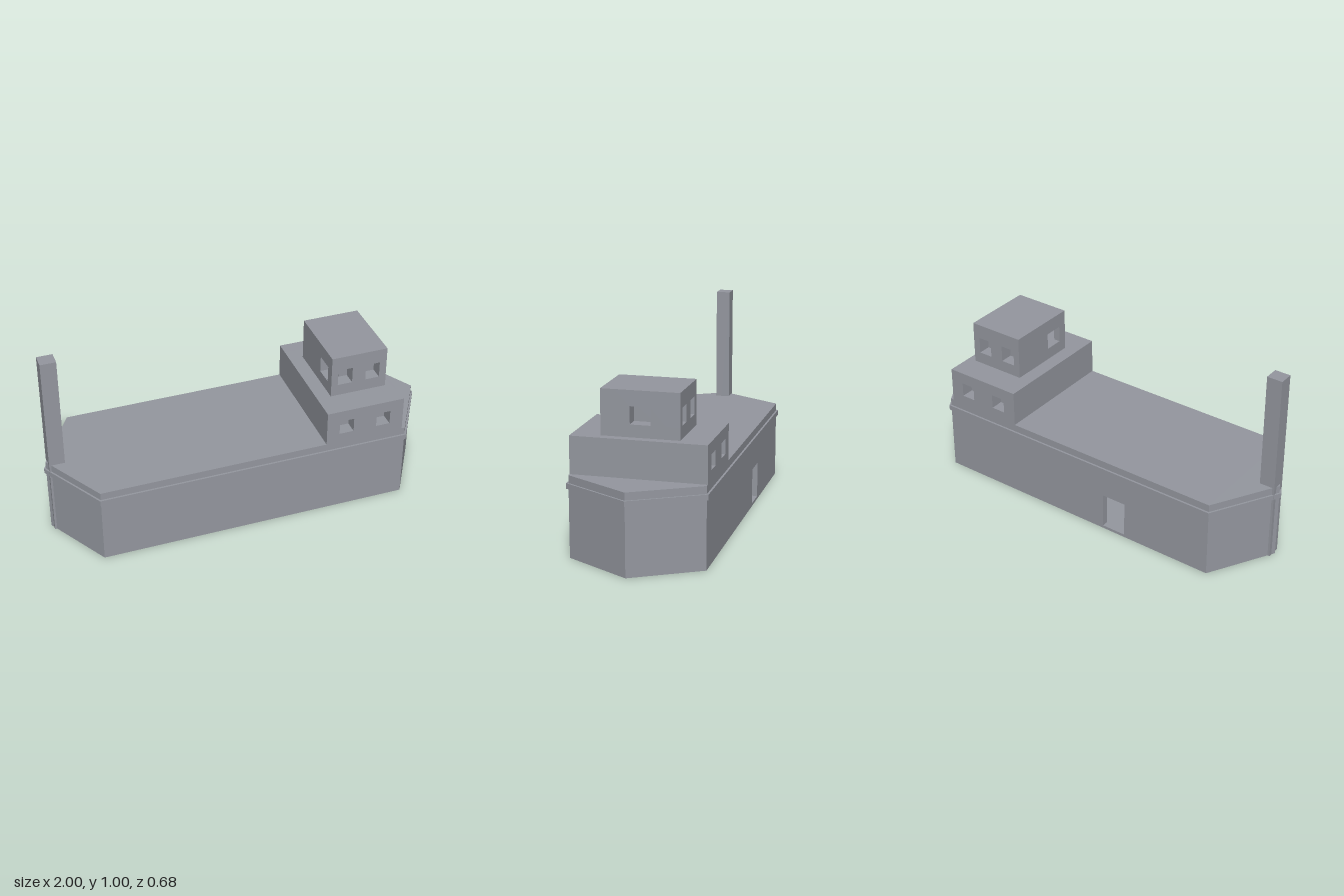
import * as THREE from 'three';

const material = new THREE.MeshStandardMaterial({ color: 0x94979f, flatShading: true });

function add(parent, name, geometry) {
  const mesh = new THREE.Mesh(geometry, material);
  mesh.name = name;
  parent.add(mesh);
  return mesh;
}

// Six-sided plan pointed at both ends, listed from the back right corner round to the back left
const plan = (tip, corner, half) => [
  [-corner, half], [-tip, 0], [-corner, -half], [corner, -half], [tip, 0], [corner, half],
];
const toVectors = (points) => points.map(([x, y]) => new THREE.Vector2(x, y));

// Plan outline extruded upward from y0 to y1
function slab(points, y0, y1, hole) {
  const shape = new THREE.Shape(toVectors(points));
  if (hole) shape.holes.push(new THREE.Path(toVectors(hole)));
  return new THREE.ExtrudeGeometry(shape, { depth: y1 - y0, bevelEnabled: false })
    .rotateX(-Math.PI / 2)
    .translate(0, y0, 0);
}

// Solid box with box-shaped cuts; boxes are [[x0, x1], [y0, y1], [z0, z1]]
function carvedBox(box, cuts) {
  const lines = box.map(([lo, hi], a) => {
    const all = [lo, hi, ...cuts.flatMap((c) => c[a])].filter((v) => v >= lo && v <= hi);
    return [...new Set(all)].sort((p, q) => p - q);
  });
  const solid = (cell) => {
    if (cell.some((i, a) => i < 0 || i >= lines[a].length - 1)) return false;
    const mid = cell.map((i, a) => (lines[a][i] + lines[a][i + 1]) / 2);
    return !cuts.some((c) => mid.every((m, a) => m > c[a][0] && m < c[a][1]));
  };
  const positions = [];
  const addFace = (cell, a, side) => {
    const b = (a + 1) % 3, c = (a + 2) % 3;
    const corner = (u, v) => {
      const p = [];
      p[a] = lines[a][cell[a] + side];
      p[b] = lines[b][cell[b] + u];
      p[c] = lines[c][cell[c] + v];
      return p;
    };
    const q = [corner(0, 0), corner(1, 0), corner(1, 1), corner(0, 1)];
    if (!side) q.reverse();
    for (const i of [0, 1, 2, 0, 2, 3]) positions.push(...q[i]);
  };
  for (let i = 0; i < lines[0].length - 1; i++)
    for (let j = 0; j < lines[1].length - 1; j++)
      for (let k = 0; k < lines[2].length - 1; k++) {
        const cell = [i, j, k];
        if (!solid(cell)) continue;
        for (let a = 0; a < 3; a++)
          for (const side of [0, 1]) {
            const next = [...cell];
            next[a] += side ? 1 : -1;
            if (!solid(next)) addFace(cell, a, side);
          }
      }
  const geometry = new THREE.BufferGeometry();
  geometry.setAttribute('position', new THREE.Float32BufferAttribute(positions, 3));
  geometry.computeVertexNormals();
  return geometry;
}

const WINDOW_DEPTH = 0.067;

// Matching window recesses on the front and back walls
function windowPairs(xRanges, yRange, half) {
  return xRanges.flatMap((x) => [
    [x, yRange, [half - WINDOW_DEPTH, half + 0.1]],
    [x, yRange, [-half - 0.1, WINDOW_DEPTH - half]],
  ]);
}

export function createModel() {
  const model = new THREE.Group();
  model.name = 'ship';

  // Hollow hull with a doorway through the back wall
  const hull = new THREE.Group();
  hull.name = 'hull';
  model.add(hull);
  const outer = plan(0.99, 0.8, 0.33);
  const inner = plan(0.95, 0.78, 0.295);
  const doorway = [
    ...outer, [-0.185, 0.33], [-0.185, 0.295],
    ...[...inner].reverse(), [-0.315, 0.295], [-0.315, 0.33],
  ];
  add(hull, 'hullBottom', slab(outer, 0, 0.015));
  add(hull, 'hullWallWithDoorway', slab(doorway, 0.015, 0.2));
  add(hull, 'hullUpperWall', slab(outer, 0.2, 0.34, inner));
  add(hull, 'deck', slab(outer, 0.34, 0.405));

  // Rubbing strip around the hull
  add(model, 'rubbingStrip', slab(plan(1, 0.805, 0.34), 0.34, 0.367));

  // Wide lower deckhouse
  add(model, 'lowerCabin', carvedBox(
    [[0.37, 0.782], [0.405, 0.59], [-0.33, 0.33]],
    windowPairs([[0.438, 0.514], [0.637, 0.711]], [0.455, 0.53], 0.33),
  ));

  // Bridge with windows on all four sides, the one facing the mast set off centre
  const sill = [0.651, 0.737];
  add(model, 'upperCabin', carvedBox(
    [[0.443, 0.74], [0.59, 0.813], [-0.19, 0.19]],
    [
      ...windowPairs([[0.478, 0.556], [0.628, 0.703]], sill, 0.19),
      [[0.74 - WINDOW_DEPTH, 0.85], sill, [-0.049, 0.049]],
      [[0.35, 0.443 + WINDOW_DEPTH], sill, [0.045, 0.143]],
    ],
  ));

  // Square mast standing through the opposite end
  add(model, 'mast', new THREE.BoxGeometry(0.08, 1, 0.073)).position.set(-0.94, 0.5, 0);

  return model;
}
